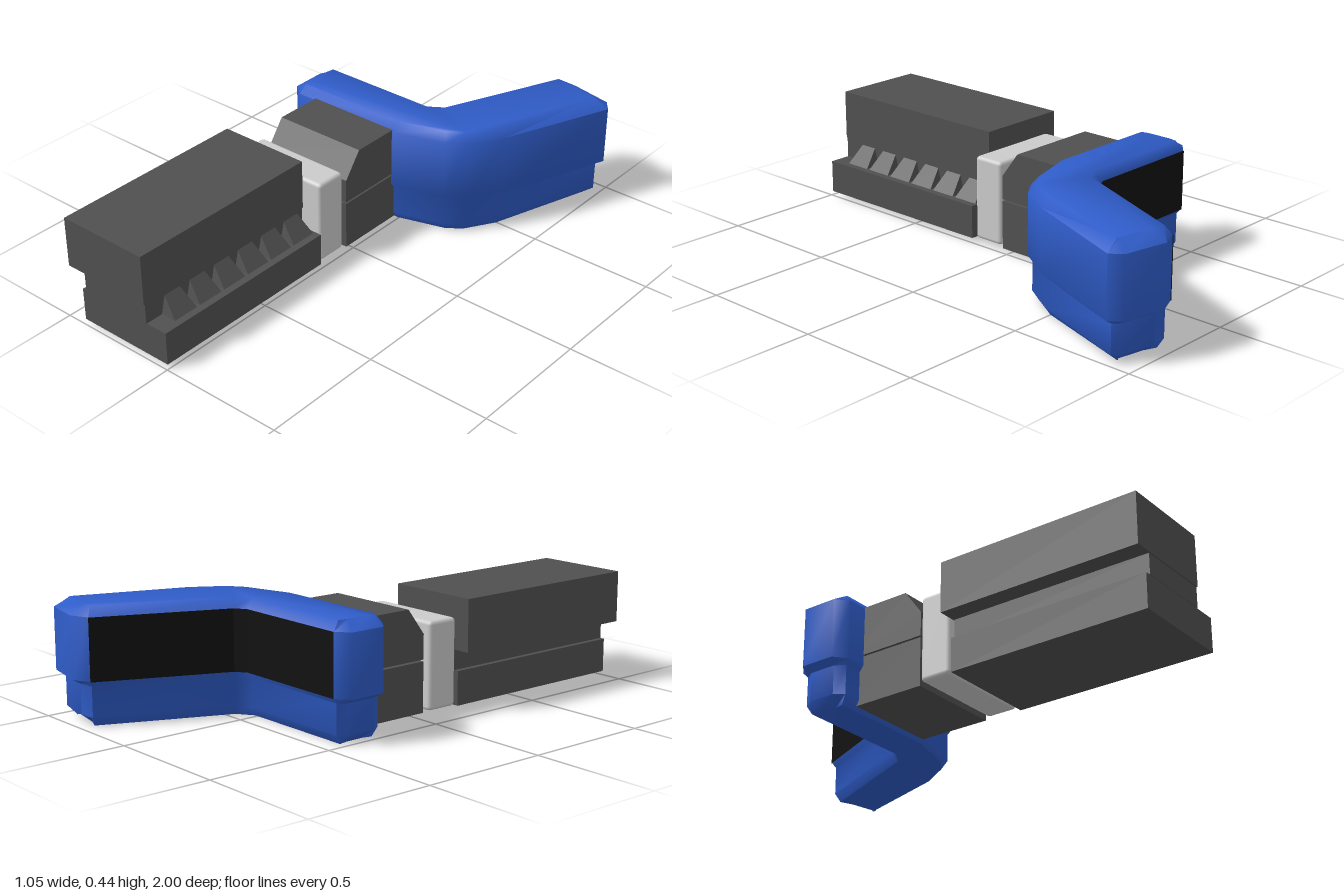
import * as THREE from 'three';
import { toCreasedNormals } from 'three/addons/utils/BufferGeometryUtils.js';
import { RoundedBoxGeometry } from 'three/addons/geometries/RoundedBoxGeometry.js';
import { ConvexGeometry } from 'three/addons/geometries/ConvexGeometry.js';

const blue = new THREE.MeshStandardMaterial({ color: 0x2f5cc8 });
const dark = new THREE.MeshStandardMaterial({ color: 0x505050 });
const black = new THREE.MeshStandardMaterial({ color: 0x111111, side: THREE.DoubleSide });
const grey = new THREE.MeshStandardMaterial({ color: 0xcccccc });

// Plan outline of the bent body: x, z, inset weight (the ends taper more)
const OUTLINE = [
  [-0.53, -0.28, 2], [-0.48, -0.24, 1], [0, -0.24, 1], [0.2, -0.3, 1], [0.27, -0.35, 1],
  [0.35, -0.48, 1], [0.525, -0.92, 2], [0.49, -0.965, 2], [0.32, -1, 2], [0.25, -0.97, 1],
  [0.045, -0.49, 1], [0, -0.46, 1], [-0.48, -0.46, 1], [-0.53, -0.42, 2],
];
// Height and inset of each section, bottom to top
const LEVELS = [[0, 0.04], [0.035, 0.017], [0.15, 0.017], [0.17, 0], [0.405, 0], [0.44, 0.03]];

// Moves the outline inwards along the averaged edge normals
function insetOutline(d) {
  const n = OUTLINE.length;
  return OUTLINE.map(([x, z, w], i) => {
    const [px, pz] = OUTLINE[(i + n - 1) % n], [qx, qz] = OUTLINE[(i + 1) % n];
    const a = new THREE.Vector2(pz - z, x - px).normalize();
    const b = new THREE.Vector2(z - qz, qx - x).normalize();
    const m = a.add(b).normalize().multiplyScalar(d * w);
    return [x - m.x, z - m.y];
  });
}

function bentBodyGeometry() {
  const n = OUTLINE.length, pos = [], index = [];
  const rings = LEVELS.map(([y, d]) => insetOutline(d).map(([x, z]) => [x, y, z]));
  rings.forEach((ring) => ring.forEach((p) => pos.push(...p)));
  for (let k = 0; k < rings.length - 1; k++) {
    for (let i = 0; i < n; i++) {
      const a = k * n + i, b = k * n + (i + 1) % n;
      index.push(a, b, b + n, a, b + n, a + n);
    }
  }
  // Top and bottom caps
  const cap = (k) => THREE.ShapeUtils.triangulateShape(
    rings[k].map(([x, , z]) => new THREE.Vector2(x, -z)), []);
  const top = (rings.length - 1) * n;
  cap(0).forEach(([a, b, c]) => index.push(a, c, b));
  cap(rings.length - 1).forEach(([a, b, c]) => index.push(top + a, top + b, top + c));
  const g = new THREE.BufferGeometry();
  g.setAttribute('position', new THREE.Float32BufferAttribute(pos, 3));
  g.setIndex(index);
  return toCreasedNormals(g, 0.9);
}

// Vertical strip that follows the rear faces of the bent body
function backStripGeometry() {
  const pts = insetOutline(-0.003).slice(9, 13), pos = [], index = [];
  pts.forEach(([x, z], i) => {
    pos.push(x, 0.17, z, x, 0.405, z);
    if (i) index.push(2 * i - 2, 2 * i, 2 * i + 1, 2 * i - 2, 2 * i + 1, 2 * i - 1);
  });
  const g = new THREE.BufferGeometry();
  g.setAttribute('position', new THREE.Float32BufferAttribute(pos, 3));
  g.setIndex(index);
  return toCreasedNormals(g, 0.3);
}

export function createModel() {
  const model = new THREE.Group();
  model.name = 'model';
  const add = (name, geometry, material, parent = model) => {
    const mesh = new THREE.Mesh(geometry, material);
    mesh.name = name;
    parent.add(mesh);
    return mesh;
  };
  // Box given by its two extreme corners
  const box = (name, [x0, x1], [y0, y1], [z0, z1], material, parent) =>
    add(name, new THREE.BoxGeometry(x1 - x0, y1 - y0, z1 - z0), material, parent)
      .position.set((x0 + x1) / 2, (y0 + y1) / 2, (z0 + z1) / 2);

  // Bent rear body with its dark back strip
  add('bentBody', bentBodyGeometry(), blue);
  add('backStrip', backStripGeometry(), black);

  // Connector: lower block and chamfered upper block
  box('connectorBase', [-0.4, -0.01], [0.015, 0.208], [-0.3, 0.03], dark);
  const profile = new THREE.Shape([
    [-0.3, 0.215], [0.03, 0.215], [0.03, 0.31], [-0.045, 0.41], [-0.3, 0.41],
  ].map(([z, y]) => new THREE.Vector2(z, y)));
  const upper = new THREE.ExtrudeGeometry(profile, { depth: 0.39, bevelEnabled: false });
  upper.rotateY(-Math.PI / 2).translate(-0.01, 0, 0);
  add('connectorTop', upper, dark);

  // Pale slab between the connector and the front block
  add('spacerSlab', new RoundedBoxGeometry(0.405, 0.335, 0.13, 2, 0.015), grey)
    .position.set(-0.215, 0.1875, 0.11);

  // Front block: base, neck and overhanging top
  const block = new THREE.Group();
  block.name = 'frontBlock';
  model.add(block);
  box('blockBase', [-0.42, -0.003], [0.018, 0.15], [0.185, 0.993], dark, block);
  box('blockNeck', [-0.4, -0.095], [0.15, 0.23], [0.185, 0.995], dark, block);
  box('blockTop', [-0.475, -0.095], [0.23, 0.43], [0.18, 1], dark, block);

  // Row of wedge teeth on the left ledge
  const tooth = new ConvexGeometry([
    [-0.1, 0.148, -0.055], [-0.1, 0.148, 0.055], [-0.03, 0.148, -0.055],
    [-0.03, 0.148, 0.055], [-0.095, 0.22, -0.037], [-0.095, 0.22, 0.037],
  ].map((p) => new THREE.Vector3(...p)));
  for (let i = 0; i < 6; i++) add('tooth', tooth, dark, block).position.z = 0.25 + i * 0.123;

  return model;
}
